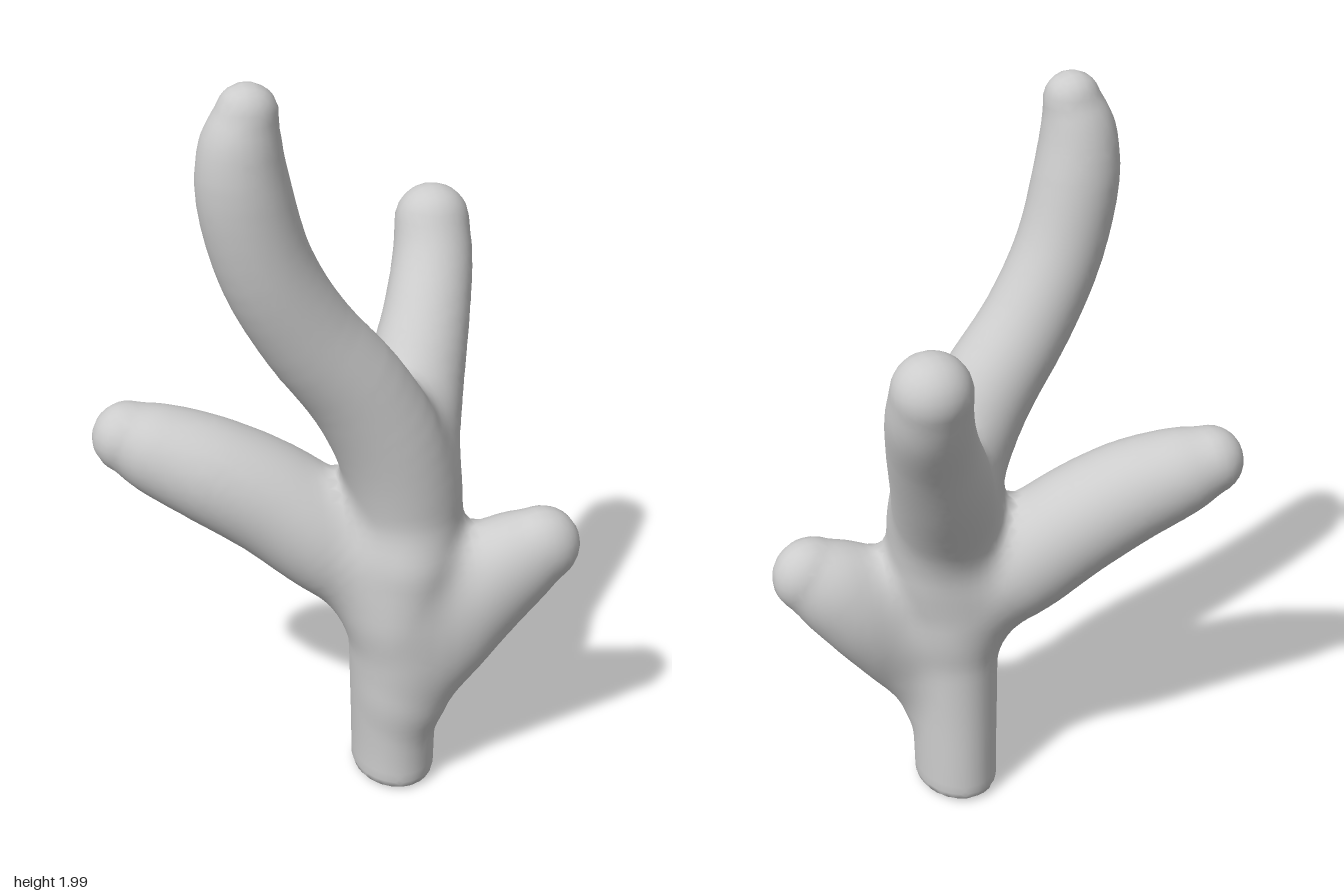
import * as THREE from 'three';

// Each limb: centre-line points [x, y, z, radius], depth = stretch of its section in z
const LIMBS = [
  { name: 'trunk', depth: 1.29, points: [
    [0.14, -0.1, 0.142, 0.111], [0.14, 0.1, 0.142, 0.111], [0.138, 0.3, 0.152, 0.117],
    [0.14, 0.5, 0.163, 0.126], [0.15, 0.68, 0.16, 0.128]] },
  { name: 'mainStem', depth: 1, points: [
    [0.14, 0.55, 0.165, 0.12], [0.16, 0.8, 0.162, 0.14], [0.117, 1.0, 0.17, 0.14],
    [0.023, 1.18, 0.183, 0.13], [-0.113, 1.36, 0.2, 0.12], [-0.212, 1.54, 0.215, 0.116],
    [-0.264, 1.73, 0.225, 0.112], [-0.272, 1.84, 0.233, 0.097], [-0.256, 1.925, 0.239, 0.073]] },
  { name: 'leftBranch', depth: 1, points: [
    [0.12, 0.57, 0.14, 0.11], [-0.02, 0.71, 0.08, 0.15], [-0.16, 0.82, 0.035, 0.15],
    [-0.31, 0.905, -0.007, 0.14], [-0.43, 0.957, -0.05, 0.121], [-0.516, 0.992, -0.082, 0.094]] },
  { name: 'rearBranch', depth: 1, points: [
    [0.16, 0.72, 0.14, 0.11], [0.19, 0.93, 0.06, 0.134], [0.235, 1.08, -0.03, 0.13],
    [0.292, 1.23, -0.12, 0.115], [0.332, 1.36, -0.202, 0.106], [0.341, 1.448, -0.243, 0.099]] },
  { name: 'rightBranch', depth: 0.85, points: [
    [0.18, 0.29, 0.213, 0.087], [0.25, 0.43, 0.216, 0.125], [0.33, 0.56, 0.217, 0.145],
    [0.41, 0.65, 0.232, 0.138], [0.498, 0.713, 0.256, 0.106]] },
];
const STEPS = 32, BLEND = 0.08, BASE = 0.008;

for (const limb of LIMBS) {
  const curve = new THREE.CatmullRomCurve3(limb.points.map(([x, y, z]) => new THREE.Vector3(x, y, z)));
  const radii = new THREE.SplineCurve(limb.points.map((p) => new THREE.Vector2(p[3], 0)));
  limb.samples = [];
  for (let i = 0; i <= STEPS; i++) {
    limb.samples.push({ c: curve.getPoint(i / STEPS), r: radii.getPoint(i / STEPS).x });
  }
}

// Signed distance to one tapering limb
function limbDistance({ samples, depth }, p) {
  let best = Infinity;
  for (let i = 0; i < STEPS; i++) {
    const { c: a, r: ra } = samples[i], { c: b, r: rb } = samples[i + 1];
    const bx = b.x - a.x, by = b.y - a.y, bz = (b.z - a.z) / depth;
    const px = p.x - a.x, py = p.y - a.y, pz = (p.z - a.z) / depth;
    const h = Math.min(1, Math.max(0, (px * bx + py * by + pz * bz) / (bx * bx + by * by + bz * bz)));
    best = Math.min(best, Math.hypot(px - h * bx, py - h * by, pz - h * bz) - ra - h * (rb - ra));
  }
  return best;
}

function smoothMin(a, b, k) {
  const h = Math.max(k - Math.abs(a - b), 0) / k;
  return Math.min(a, b) - h * h * k * 0.25;
}

// All limbs melted together, cut off by a softly rounded flat base
function skin(p) {
  const d = LIMBS.reduce((sum, limb) => smoothMin(sum, limbDistance(limb, p), BLEND), 10);
  return -smoothMin(-d, p.y - BASE, 0.03);
}

function skinSlope(p, e) {
  const q = new THREE.Vector3();
  const slope = (x, y, z) => (skin(q.set(p.x + x, p.y + y, p.z + z)) - skin(q.set(p.x - x, p.y - y, p.z - z))) / (2 * e);
  return new THREE.Vector3(slope(e, 0, 0), slope(0, e, 0), slope(0, 0, e));
}

// Wrap the melted limbs in quads: one point per grid cell that the skin passes through
const CELL = 0.025, ORIGIN = new THREE.Vector3(-0.68, -0.05, -0.42), SIZE = [55, 85, 34];
const STRIDE = [1, SIZE[0], SIZE[0] * SIZE[1]];

function wrapLimbs() {
  const gridPoint = (x, y, z) => new THREE.Vector3(x, y, z).multiplyScalar(CELL).add(ORIGIN);
  const values = [], cellPoint = new Map(), positions = [], normals = [], owner = [];
  const eachCell = (visit) => {
    for (let z = 1; z < SIZE[2] - 1; z++)
      for (let y = 1; y < SIZE[1] - 1; y++)
        for (let x = 1; x < SIZE[0] - 1; x++) visit(x, y, z, x + y * STRIDE[1] + z * STRIDE[2]);
  };
  for (let z = 0; z < SIZE[2]; z++)
    for (let y = 0; y < SIZE[1]; y++)
      for (let x = 0; x < SIZE[0]; x++) values.push(skin(gridPoint(x, y, z)));

  // Average the crossings on the cell's edges, then settle the point on the skin
  eachCell((x, y, z, id) => {
    const sum = new THREE.Vector3();
    let count = 0;
    for (let corner = 0; corner < 8; corner++) {
      const bits = [corner & 1, (corner >> 1) & 1, corner >> 2];
      const from = id + bits[0] + bits[1] * STRIDE[1] + bits[2] * STRIDE[2];
      for (let axis = 0; axis < 3; axis++) {
        const a = values[from], b = values[from + STRIDE[axis]];
        if (bits[axis] || (a < 0) === (b < 0)) continue;
        const at = [x + bits[0], y + bits[1], z + bits[2]];
        at[axis] += a / (a - b);
        sum.add(gridPoint(...at));
        count++;
      }
    }
    if (!count) return;
    const p = sum.divideScalar(count);
    for (let k = 0; k < 3; k++) {
      const g = skinSlope(p, 0.004);
      p.addScaledVector(g, -skin(p) / Math.max(g.lengthSq(), 0.2));
    }
    cellPoint.set(id, owner.length);
    positions.push(...p);
    normals.push(...skinSlope(p, 0.02).normalize());
    const distances = LIMBS.map((limb) => limbDistance(limb, p));
    owner.push(distances.indexOf(Math.min(...distances)));
  });

  // One quad around every grid edge that crosses the skin, given to the nearest limb
  const faces = LIMBS.map(() => []);
  eachCell((x, y, z, id) => {
    for (let axis = 0; axis < 3; axis++) {
      const inside = values[id] < 0;
      if (inside === (values[id + STRIDE[axis]] < 0)) continue;
      const u = STRIDE[(axis + 1) % 3], w = STRIDE[(axis + 2) % 3];
      const quad = [id, id - u, id - u - w, id - w].map((cell) => cellPoint.get(cell));
      if (!inside) quad.reverse();
      const [a, b, c, d] = quad;
      faces[owner[a]].push(a, b, c, a, c, d);
    }
  });
  const position = new THREE.Float32BufferAttribute(positions, 3);
  const normal = new THREE.Float32BufferAttribute(normals, 3);
  return faces.map((index) => new THREE.BufferGeometry()
    .setAttribute('position', position).setAttribute('normal', normal).setIndex(index));
}

export function createModel() {
  const group = new THREE.Group();
  group.name = 'branchingCoral';
  const grey = new THREE.MeshStandardMaterial({ color: 0xcccccc });
  grey.name = 'light grey';
  wrapLimbs().forEach((geometry, i) => {
    const mesh = new THREE.Mesh(geometry, grey);
    mesh.name = LIMBS[i].name;
    group.add(mesh);
  });
  return group;
}
